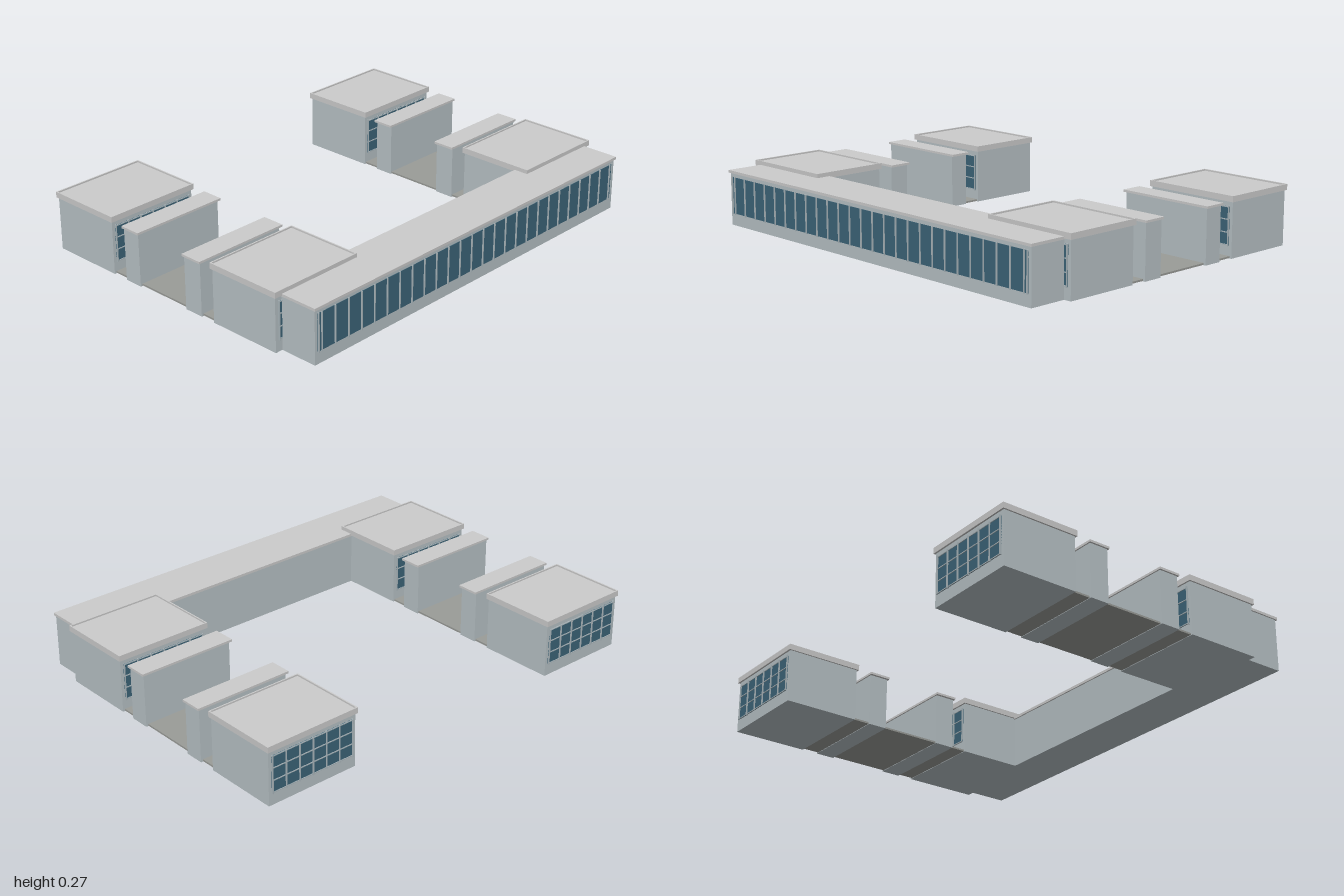
import * as THREE from 'three';

const mat = (color, extra = {}) => new THREE.MeshStandardMaterial({ color, ...extra });

export function createModel() {
  const model = new THREE.Group();
  model.name = 'courtyardBuilding';
  const wall = mat(0xb7c1c5), roof = mat(0xc6c8c5), glass = mat(0x3c6478);
  const frame = mat(0xaab6bb), paving = mat(0x9a9c98);

  // Box given by its minimum and maximum along each axis
  function block(parent, name, material, [x0, x1], [y0, y1], [z0, z1]) {
    const mesh = new THREE.Mesh(new THREE.BoxGeometry(x1 - x0, y1 - y0, z1 - z0), material);
    mesh.position.set((x0 + x1) / 2, (y0 + y1) / 2, (z0 + z1) / 2);
    mesh.name = name;
    parent.add(mesh);
    return mesh;
  }

  // Glazed strip on a wall plane at z, facing dir (+1 front, -1 back)
  function glazing(parent, name, [x0, x1], [y0, y1], z, dir, bars, rails) {
    const group = new THREE.Group();
    group.name = name;
    const depth = (d) => [Math.min(z - dir * 0.004, z + dir * d), Math.max(z - dir * 0.004, z + dir * d)];
    block(group, 'glass', glass, [x0, x1], [y0, y1], depth(0.002));
    for (const x of bars) block(group, 'mullion', frame, [x - 0.002, x + 0.002], [y0 - 0.003, y1 + 0.003], depth(0.008));
    for (const y of rails) block(group, 'rail', frame, [x0, x1], [y - 0.002, y + 0.002], depth(0.005));
    parent.add(group);
  }

  // Front bar with its long window band
  const bar = new THREE.Group();
  bar.name = 'frontBar';
  block(bar, 'barWalls', wall, [-0.955, 0.955], [0, 0.238], [0.51, 0.738]);
  block(bar, 'barRoof', roof, [-0.961, 0.961], [0.238, 0.25], [0.504, 0.745]);
  const fins = [-0.938, 0.938];
  for (let i = 0; i <= 25; i++) fins.push(-0.92 + i * 1.84 / 25);
  glazing(bar, 'barWindows', [-0.94, 0.94], [0.055, 0.22], 0.738, 1, fins, []);
  model.add(bar);

  // Tall pavilion: walls, parapet roof, glazing on both ends
  function pavilion(parent, name, z0, z1) {
    const g = new THREE.Group();
    g.name = name;
    block(g, 'pavilionWalls', wall, [0.55, 0.99], [0, 0.242], [z0, z1]);
    const X0 = 0.543, X1 = 0.997, Z0 = z0 - 0.008, Z1 = z1 + 0.008, t = 0.006;
    block(g, 'roofSlab', roof, [X0, X1], [0.242, 0.261], [Z0, Z1]);
    for (const x of [X0, X1 - t]) block(g, 'parapetSide', roof, [x, x + t], [0.261, 0.268], [Z0, Z1]);
    for (const z of [Z0, Z1 - t]) block(g, 'parapetEnd', roof, [X0 + t, X1 - t], [0.261, 0.268], [z, z + t]);
    const bars = [];
    for (let i = 0; i <= 6; i++) bars.push(0.567 + i * 0.406 / 6);
    for (const [z, dir] of [[z0, -1], [z1, 1]])
      glazing(g, 'endWindows', [0.565, 0.975], [0.055, 0.22], z, dir, bars, [0.057, 0.11, 0.165, 0.218]);
    parent.add(g);
  }

  // Narrow cross block with a flat overhanging roof
  function crossBlock(parent, name, z0, z1) {
    const g = new THREE.Group();
    g.name = name;
    block(g, 'blockWalls', wall, [0.55, 0.99], [0, 0.24], [z0, z1]);
    block(g, 'blockRoof', roof, [0.538, 0.998], [0.24, 0.25], [z0 - 0.006, z1 + 0.006]);
    parent.add(g);
  }

  // Two mirrored wings
  for (const side of [1, -1]) {
    const wing = new THREE.Group();
    wing.name = side > 0 ? 'leftWing' : 'rightWing';
    pavilion(wing, 'frontPavilion', 0.215, 0.563);
    pavilion(wing, 'rearPavilion', -0.738, -0.392);
    crossBlock(wing, 'frontCrossBlock', 0.051, 0.143);
    crossBlock(wing, 'rearCrossBlock', -0.315, -0.227);
    block(wing, 'courtFloor', paving, [0.556, 0.98], [0.002, 0.01], [-0.395, 0.22]);
    // Turning a wing's children about x = 0 mirrors it, as every box is symmetric
    if (side < 0) wing.traverse((o) => { if (o.isMesh) o.position.x *= -1; });
    model.add(wing);
  }
  return model;
}
